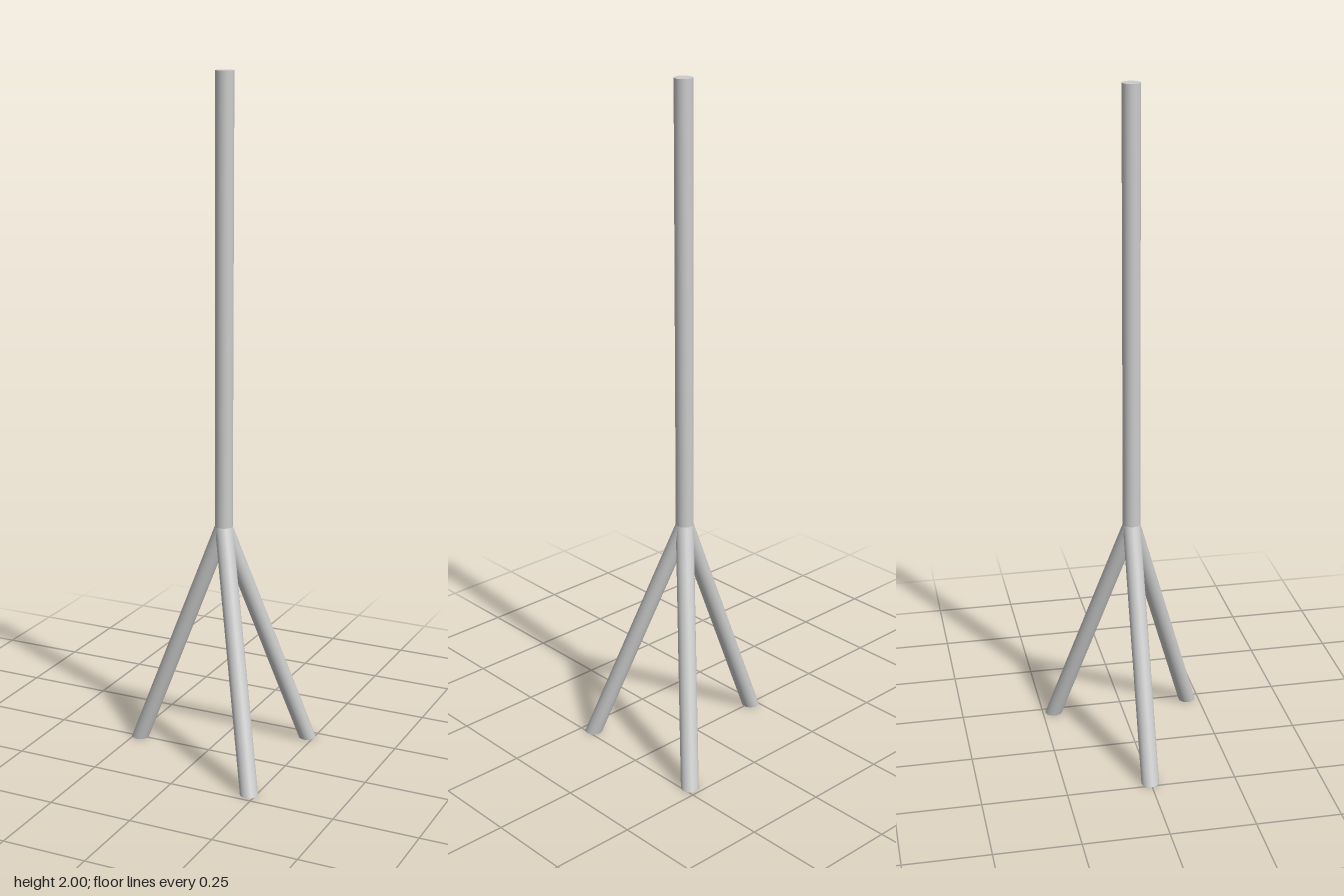
import * as THREE from 'three';

const RADIUS = 0.026;
const JOINT = new THREE.Vector3(0.048, 0.71, -0.001);
const TOP = 2;

const material = new THREE.MeshStandardMaterial({ color: 0xcccccc });

// Round rod with level ends, sheared so it runs from one point to another
function rod(name, from, to) {
  const height = to.y - from.y;
  const geometry = new THREE.CylinderGeometry(RADIUS, RADIUS, height, 32);
  geometry.translate(0, height / 2, 0);
  const kx = (to.x - from.x) / height;
  const kz = (to.z - from.z) / height;
  geometry.applyMatrix4(new THREE.Matrix4().set(
    1, kx, 0, from.x,
    0, 1, 0, from.y,
    0, kz, 1, from.z,
    0, 0, 0, 1
  ));
  const mesh = new THREE.Mesh(geometry, material);
  mesh.name = name;
  return mesh;
}

export function createModel() {
  const group = new THREE.Group();
  group.name = 'tripodStand';

  // Upright pole
  group.add(rod('pole', JOINT, new THREE.Vector3(JOINT.x, TOP, JOINT.z)));

  // Three splayed legs meeting at the foot of the pole
  const feet = {
    rightLeg: [-0.231, -0.001],
    frontLeftLeg: [0.23, 0.214],
    backLeftLeg: [0.23, -0.216],
  };
  for (const [name, [x, z]] of Object.entries(feet)) {
    group.add(rod(name, new THREE.Vector3(x, 0, z), JOINT));
  }

  return group;
}
